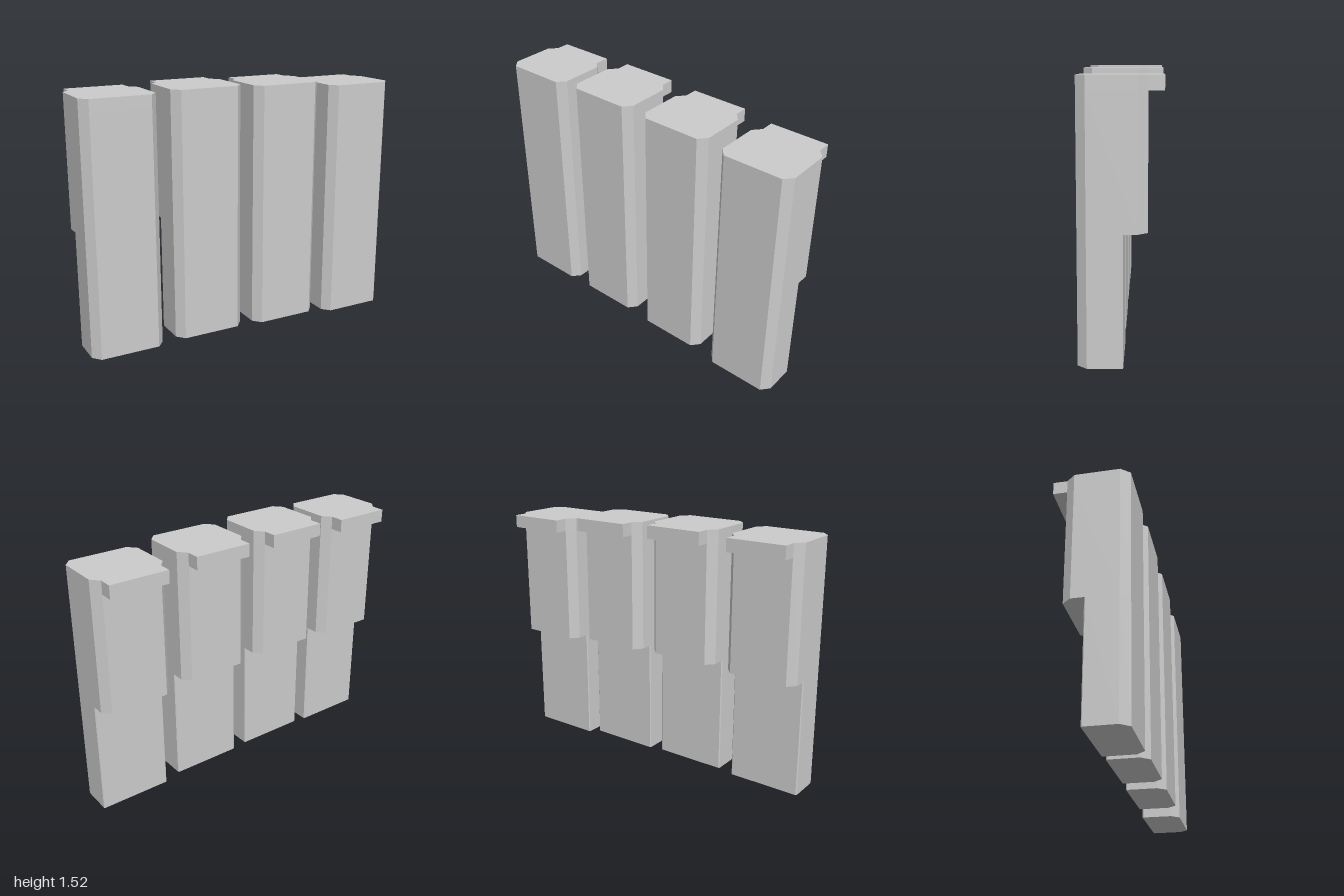
import * as THREE from 'three';

const material = new THREE.MeshStandardMaterial({ color: 0xcccccc, flatShading: true });

const W = 0.2175;      // half width
const N = 0.1745;      // half width inside the chamfers
const H = 1.473;       // block height
const STEP = 0.695;    // underside of the thicker upper body
const LIP = 1.397;     // underside of the rear lip

// Horizontal section from its right half [x, z], front to back, mirrored and raised from y0 to y1
function slab(name, half, y0, y1) {
  const mirrored = half.map(([x, z]) => [-x, z]).reverse();
  const points = [...half, ...mirrored].map(([x, z]) => new THREE.Vector2(x, -z));
  const geometry = new THREE.ExtrudeGeometry(new THREE.Shape(points), { depth: y1 - y0, bevelEnabled: false });
  geometry.rotateX(-Math.PI / 2);
  geometry.translate(0, y0, 0);
  const mesh = new THREE.Mesh(geometry, material);
  mesh.name = name;
  return mesh;
}

function createBlock() {
  const block = new THREE.Group();
  const front = [[N, 0.218], [W, 0.168]];                 // chamfered front corner
  const back = [...front, [W, -0.088], [N, -0.138]];      // plus chamfered back corner
  block.add(
    slab('lowerBody', [...front, [W, -0.01], [W - 0.006, -0.016]], 0, STEP),
    slab('upperBody', back, STEP, LIP),
    slab('capWithRearLip', [...back, [N, -0.218]], LIP, H),
  );
  return block;
}

export function createModel() {
  const model = new THREE.Group();
  model.name = 'blockRow';
  // Four equal blocks in a row, each at its own height
  const places = [[-0.7825, 0.031], [-0.262, 0.043], [0.26, 0.031], [0.7825, 0]];
  places.forEach(([x, y], i) => {
    const block = createBlock();
    block.name = `block${i + 1}`;
    block.position.set(x, y, 0);
    model.add(block);
  });
  return model;
}
